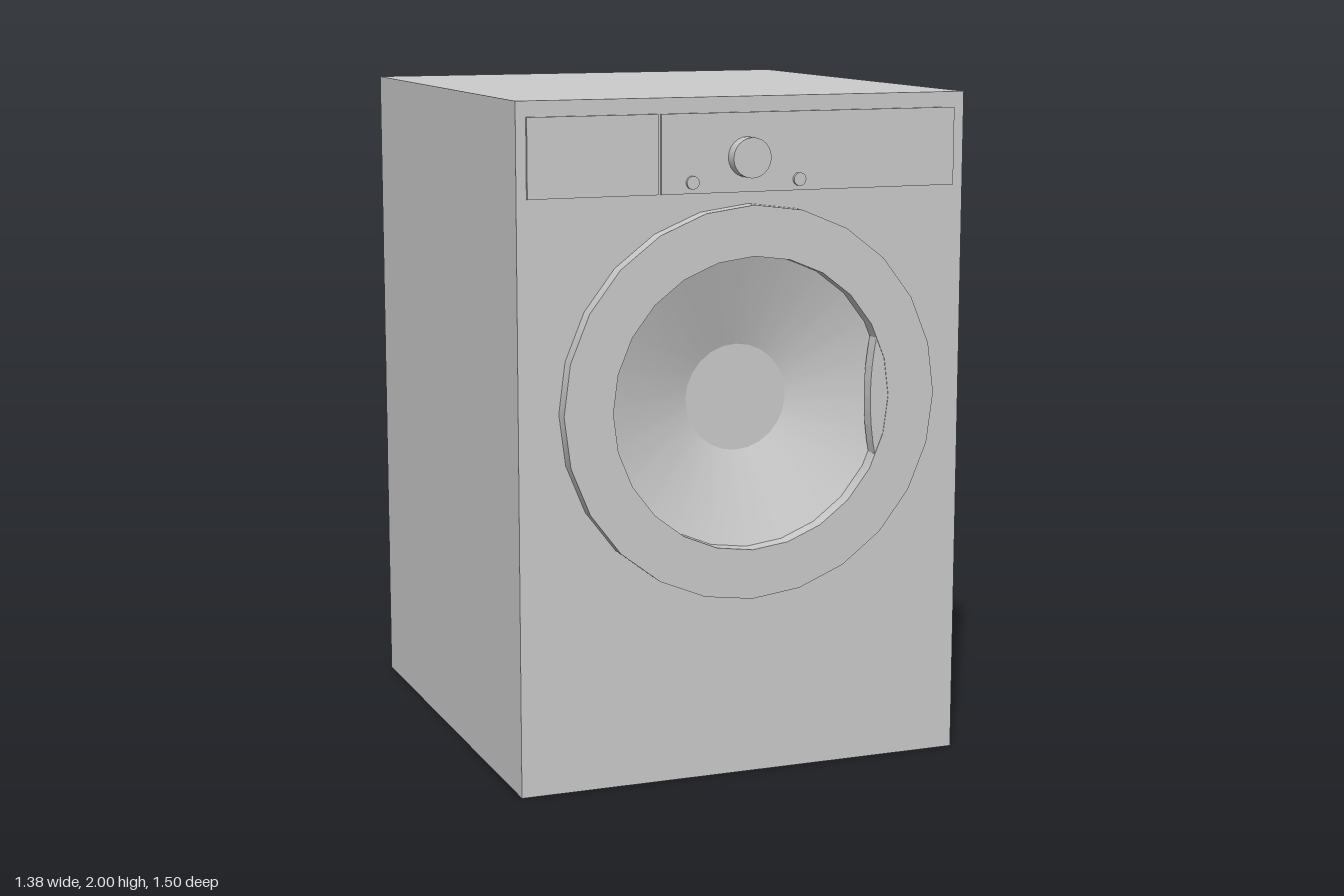
import * as THREE from 'three';
import { toCreasedNormals } from 'three/addons/utils/BufferGeometryUtils.js';

const material = new THREE.MeshStandardMaterial({ color: 0xcccccc });
const SEGMENTS = 24;
const FRONT = 0.7; // z of the cabinet front
const DOOR = { x: 0.007, y: 1.117, outer: 0.577, inner: 0.43, z: 0.747 };

export function createModel() {
  const group = new THREE.Group();

  const add = (name, geometry, x = 0, y = 0, z = 0) => {
    const mesh = new THREE.Mesh(geometry, material);
    mesh.name = name;
    mesh.position.set(x, y, z);
    group.add(mesh);
    return mesh;
  };
  // box given by its limits
  const block = (name, x0, x1, y0, y1, z0, z1) =>
    add(name, new THREE.BoxGeometry(x1 - x0, y1 - y0, z1 - z0), (x0 + x1) / 2, (y0 + y1) / 2, (z0 + z1) / 2);
  // lathe turned to face +z; profile points are [radius, z]
  const turned = (profile) =>
    new THREE.LatheGeometry(profile.map(([r, z]) => new THREE.Vector2(r, z)), SEGMENTS).rotateX(Math.PI / 2);
  const disc = (r, depth) => new THREE.CylinderGeometry(r, r, depth, SEGMENTS).rotateX(Math.PI / 2);

  // cabinet, with a round door opening through its front part
  block('cabinet', -0.69, 0.69, 0, 2, -0.75, 0.55);
  const face = new THREE.Shape();
  face.moveTo(-0.69, 0).lineTo(0.69, 0).lineTo(0.69, 2).lineTo(-0.69, 2).closePath();
  face.holes.push(new THREE.Path().absarc(DOOR.x, DOOR.y, 0.46, 0, Math.PI * 2, true));
  add('cabinetFront', new THREE.ExtrudeGeometry(face, {
    depth: FRONT - 0.55, bevelEnabled: false, curveSegments: SEGMENTS,
  }), 0, 0, 0.55);

  // door ring
  const { outer, inner, z } = DOOR;
  const ring = turned([[outer, FRONT - 0.01], [outer, z], [inner, z], [inner, FRONT - 0.01], [outer, FRONT - 0.01]]);
  add('doorRing', toCreasedNormals(ring, Math.PI / 5), DOOR.x, DOOR.y);

  // sunken glass bowl with a flat centre
  add('doorGlass', turned([[inner + 0.005, FRONT], [0.158, 0.61]]), DOOR.x, DOOR.y);
  add('doorGlassCentre', new THREE.CircleGeometry(0.158, SEGMENTS), DOOR.x, DOOR.y, 0.61);

  // door handle: a sliver between the ring's inner edge and a shallow curve
  const a = 0.43;
  const hx = Math.cos(a) * inner, hy = Math.sin(a) * inner;
  const grip = new THREE.Shape();
  grip.moveTo(hx, -hy);
  grip.absarc(0, 0, inner + 0.004, -a, a, false);
  grip.lineTo(hx, hy);
  grip.quadraticCurveTo(0.355, 0, hx, -hy);
  add('doorHandle', new THREE.ExtrudeGeometry(grip, {
    depth: z - 0.002 - FRONT, bevelEnabled: false, curveSegments: 8,
  }), DOOR.x, DOOR.y, FRONT);

  // detergent drawer and control panel
  block('detergentDrawer', -0.66, -0.272, 1.728, 1.955, FRONT - 0.01, 0.709);
  block('controlPanel', -0.263, 0.656, 1.728, 1.955, FRONT - 0.01, 0.709);

  // program knob and the two buttons below it
  add('programKnob', disc(0.058, 0.05), -0.002, 1.828, 0.725);
  for (const side of [-1, 1]) {
    add(side > 0 ? 'leftButton' : 'rightButton', disc(0.019, 0.018), side * 0.165 - 0.005, 1.76, 0.709);
  }
  return group;
}
